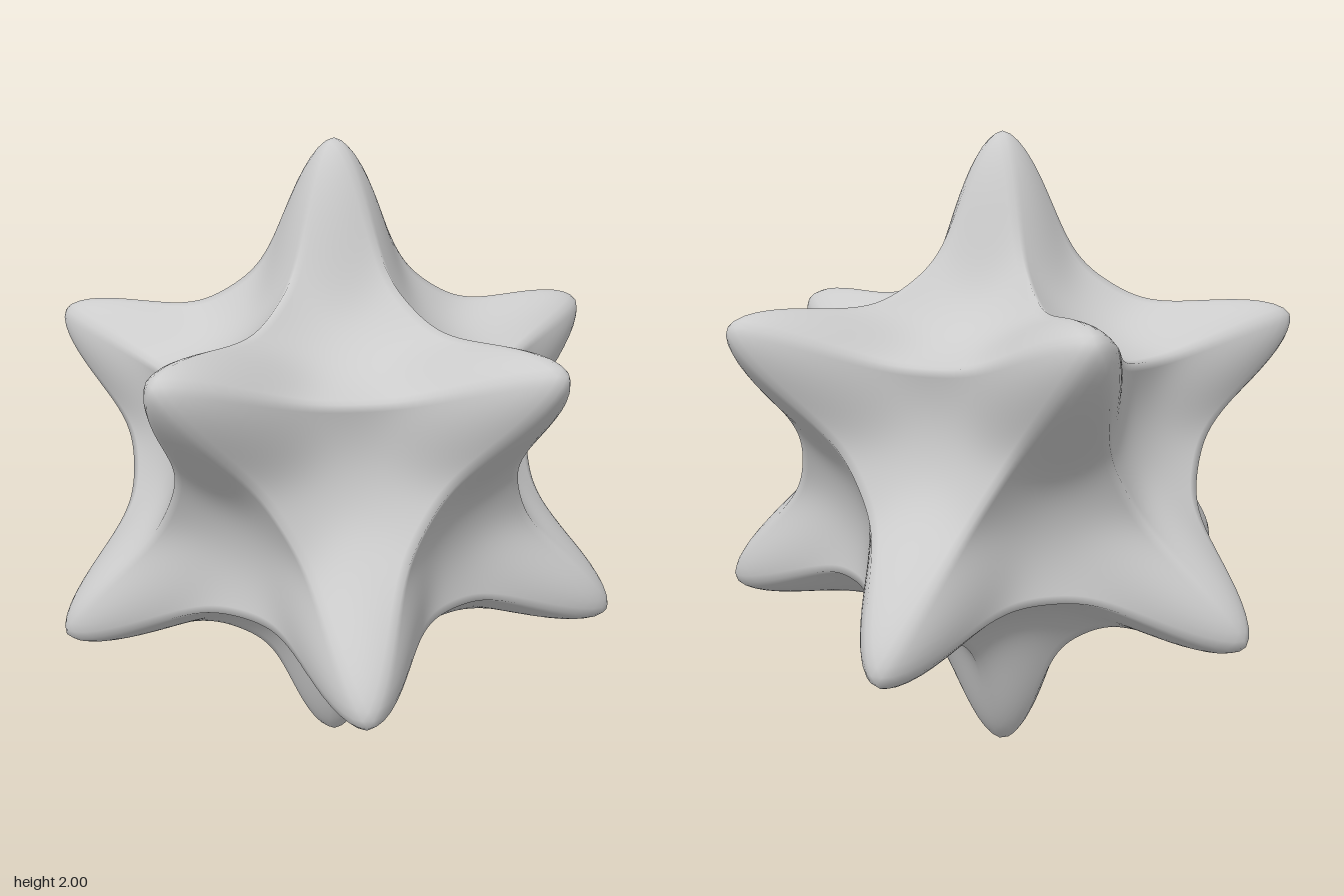
import * as THREE from 'three';
import { mergeVertices } from 'three/addons/utils/BufferGeometryUtils.js';

const DETAIL = 36;

// Twelve spike directions: two poles and two staggered rings of five
function spikeDirections() {
  const tips = [new THREE.Vector3(0, 1, 0)];
  for (const [side, offset] of [[1, 0], [-1, Math.PI / 5]]) {
    for (let i = 0; i < 5; i++) {
      const a = offset + (i * 2 * Math.PI) / 5;
      tips.push(new THREE.Vector3(2 * Math.cos(a), side, 2 * Math.sin(a)).normalize());
    }
  }
  tips.push(new THREE.Vector3(0, -1, 0));
  return tips;
}

// Twenty triangles joining neighbouring spikes, corners counter-clockwise
function spikeTriangles() {
  const faces = [];
  for (let i = 0; i < 5; i++) {
    const j = (i + 1) % 5;
    const up = 1 + i, upNext = 1 + j, low = 6 + i, lowNext = 6 + j;
    faces.push([0, upNext, up], [up, upNext, low], [low, upNext, lowNext], [11, low, lowNext]);
  }
  return faces;
}

// Rounded spikes, ridges from tip to tip, and a hollow inside each triangle
function surfacePoint(corners, weights) {
  const dir = new THREE.Vector3();
  corners.forEach((c, i) => dir.addScaledVector(c, weights[i]));
  dir.normalize();
  let radius = 0.632;
  for (const c of corners) {
    const angle = THREE.MathUtils.radToDeg(Math.acos(Math.min(1, dir.dot(c))));
    radius += 0.368 * Math.exp(-Math.pow(angle / 12.8, 1.69));
  }
  radius -= 0.09 * 27 * weights[0] * weights[1] * weights[2];
  return dir.multiplyScalar(radius);
}

export function createModel() {
  const tips = spikeDirections();
  const positions = [];

  for (const face of spikeTriangles()) {
    const corners = face.map((i) => tips[i]);
    const point = (i, j) => surfacePoint(corners, [(DETAIL - i - j) / DETAIL, i / DETAIL, j / DETAIL]);
    const add = (...points) => points.forEach((p) => positions.push(p.x, p.y, p.z));
    for (let i = 0; i < DETAIL; i++) {
      for (let j = 0; j < DETAIL - i; j++) {
        add(point(i, j), point(i + 1, j), point(i, j + 1));
        if (i + j < DETAIL - 1) add(point(i + 1, j), point(i + 1, j + 1), point(i, j + 1));
      }
    }
  }

  let geometry = new THREE.BufferGeometry();
  geometry.setAttribute('position', new THREE.Float32BufferAttribute(positions, 3));
  geometry = mergeVertices(geometry, 1e-4);
  geometry.computeVertexNormals();

  const star = new THREE.Mesh(geometry, new THREE.MeshStandardMaterial({ color: 0xcccccc }));
  star.name = 'spikedStar';
  star.position.y = 1;

  const group = new THREE.Group();
  group.name = 'twelvePointedStar';
  group.add(star);
  return group;
}
